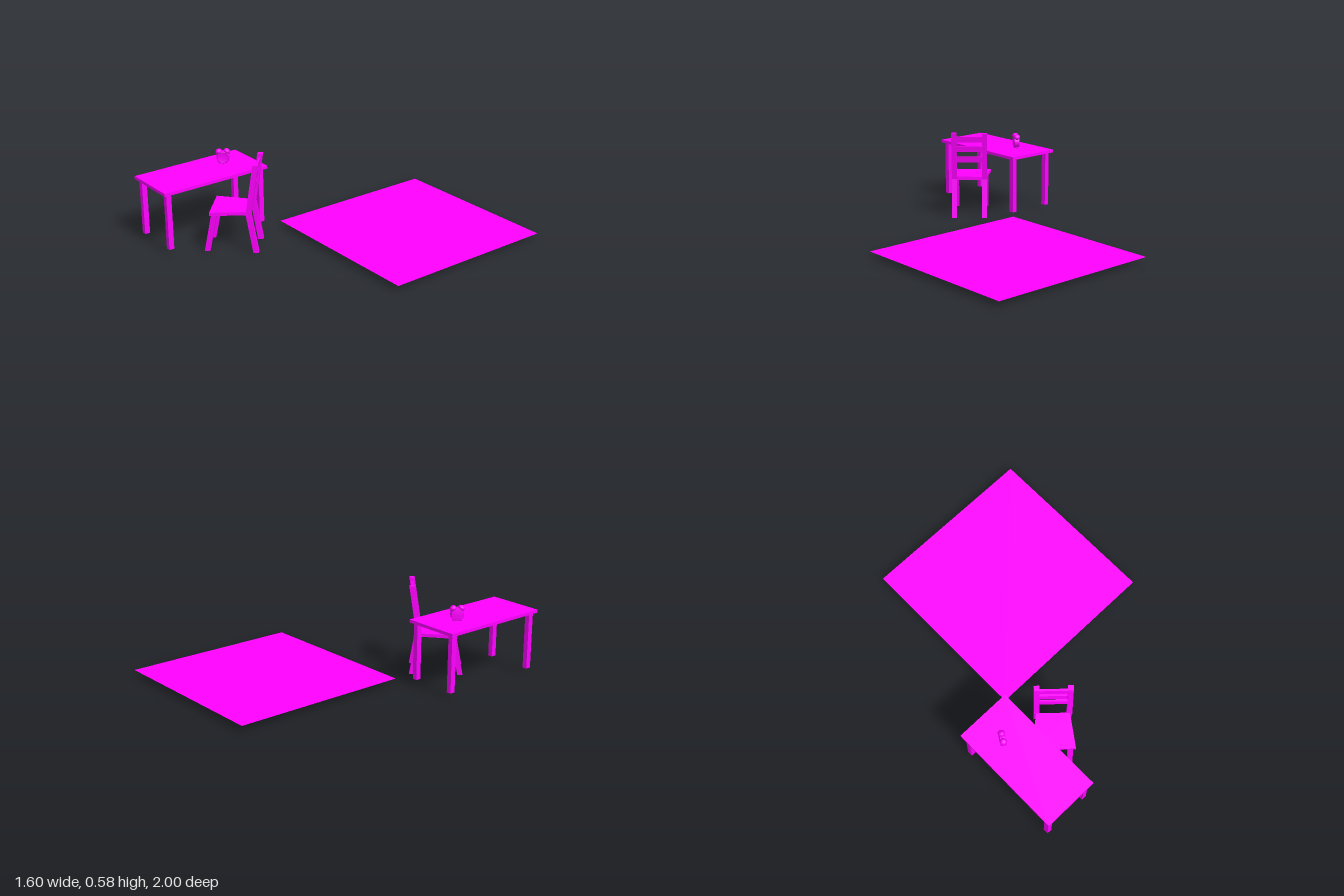
import * as THREE from 'three';

const material = new THREE.MeshStandardMaterial({ color: 0xff00ff });
const sheetMaterial = new THREE.MeshStandardMaterial({ color: 0xff00ff, side: THREE.DoubleSide });

function add(parent, name, geometry, x = 0, y = 0, z = 0, mat = material) {
  const mesh = new THREE.Mesh(geometry, mat);
  mesh.name = name;
  mesh.position.set(x, y, z);
  parent.add(mesh);
  return mesh;
}

function namedGroup(name, x = 0, y = 0, z = 0, turn = 0) {
  const group = new THREE.Group();
  group.name = name;
  group.position.set(x, y, z);
  group.rotation.y = turn;
  return group;
}

// Side profile given as [z, y] pairs, extruded along x and centred on x = 0
function sideProfile(points, width) {
  const shape = new THREE.Shape(points.map(([z, y]) => new THREE.Vector2(z, y)));
  const geometry = new THREE.ExtrudeGeometry(shape, { depth: width, bevelEnabled: false });
  return geometry.translate(0, 0, -width / 2).rotateY(-Math.PI / 2);
}

// Timber of constant depth following a [z, y] centre line, with level ends
function timber(line, depth, width) {
  const h = depth / 2;
  const front = line.map(([z, y]) => [z + h, y]);
  const back = line.map(([z, y]) => [z - h, y]).reverse();
  return sideProfile([...front, ...back], width);
}

function createTable() {
  const table = namedGroup('table', -0.615, 0, 0.62);
  add(table, 'tableTop', new THREE.BoxGeometry(0.37, 0.02, 0.76), 0, 0.415, 0);
  for (const sx of [-1, 1]) for (const sz of [-1, 1]) {
    add(table, 'tableLeg', new THREE.BoxGeometry(0.032, 0.37, 0.035), sx * 0.15, 0.22, sz * 0.342);
  }
  return table;
}

function createChair() {
  const chair = namedGroup('chair', -0.335, 0, 0.57, -0.752);

  // Seat tapers towards the back
  const outline = new THREE.Shape([[-0.136, -0.13], [0.136, -0.13], [0.105, 0.1], [-0.105, 0.1]]
    .map(([x, y]) => new THREE.Vector2(x, y)));
  const seat = new THREE.ExtrudeGeometry(outline, { depth: 0.022, bevelEnabled: false }).rotateX(-Math.PI / 2);
  add(chair, 'seat', seat, 0, 0.249, 0);

  // Splayed front legs; back legs continue as reclined posts
  for (const side of [-1, 1]) {
    add(chair, 'frontLeg', timber([[0.154, 0], [0.103, 0.255]], 0.034, 0.034), side * 0.1025);
    add(chair, 'backLegAndPost',
      timber([[-0.154, 0], [-0.112, 0.26], [-0.163, 0.585]], 0.034, 0.034), side * 0.1025);
  }

  // Back slats follow the lean of the posts
  const lean = (y) => -0.112 - 0.051 * (y - 0.26) / 0.325;
  for (const y of [0.379, 0.453, 0.522]) {
    const top = y + 0.039;
    add(chair, 'backSlat', timber([[lean(y), y], [lean(top), top]], 0.014, 0.18));
  }
  return chair;
}

function createAlarmClock() {
  const clock = namedGroup('alarmClock', -0.64, 0.47, 0.44, 1.035);

  // Drum with a raised rim round a recessed dial
  const profile = [[0, -0.018], [0.037, -0.018], [0.041, -0.013], [0.041, 0.014],
    [0.038, 0.018], [0.034, 0.018], [0.034, 0.012], [0, 0.012]];
  const body = new THREE.LatheGeometry(profile.map(([r, y]) => new THREE.Vector2(r, y)), 24);
  add(clock, 'clockBody', body.rotateX(Math.PI / 2));

  // Hands on the dial
  add(clock, 'minuteHand', new THREE.BoxGeometry(0.003, 0.026, 0.002), 0, 0.011, 0.013);
  add(clock, 'hourHand', new THREE.BoxGeometry(0.018, 0.003, 0.002), 0.008, 0, 0.013);

  // Paired bells and feet
  for (const side of [-1, 1]) {
    const bell = add(clock, 'bell', new THREE.SphereGeometry(0.022, 18, 12), side * 0.027, 0.039, 0);
    bell.scale.y = 0.8;
    bell.rotation.z = -side * 0.6;
    const foot = add(clock, 'clockFoot', new THREE.CylinderGeometry(0.005, 0.004, 0.018, 10), side * 0.024, -0.036, 0);
    foot.rotation.z = side * 0.5;
  }
  return clock;
}

export function createModel() {
  const model = new THREE.Group();
  model.name = 'furnishedCorner';
  const floor = new THREE.PlaneGeometry(1.18, 1.18).rotateX(-Math.PI / 2);
  add(model, 'floorSheet', floor, 0.21, 0.036, -0.41, sheetMaterial);
  model.add(createTable(), createChair(), createAlarmClock());
  return model;
}
